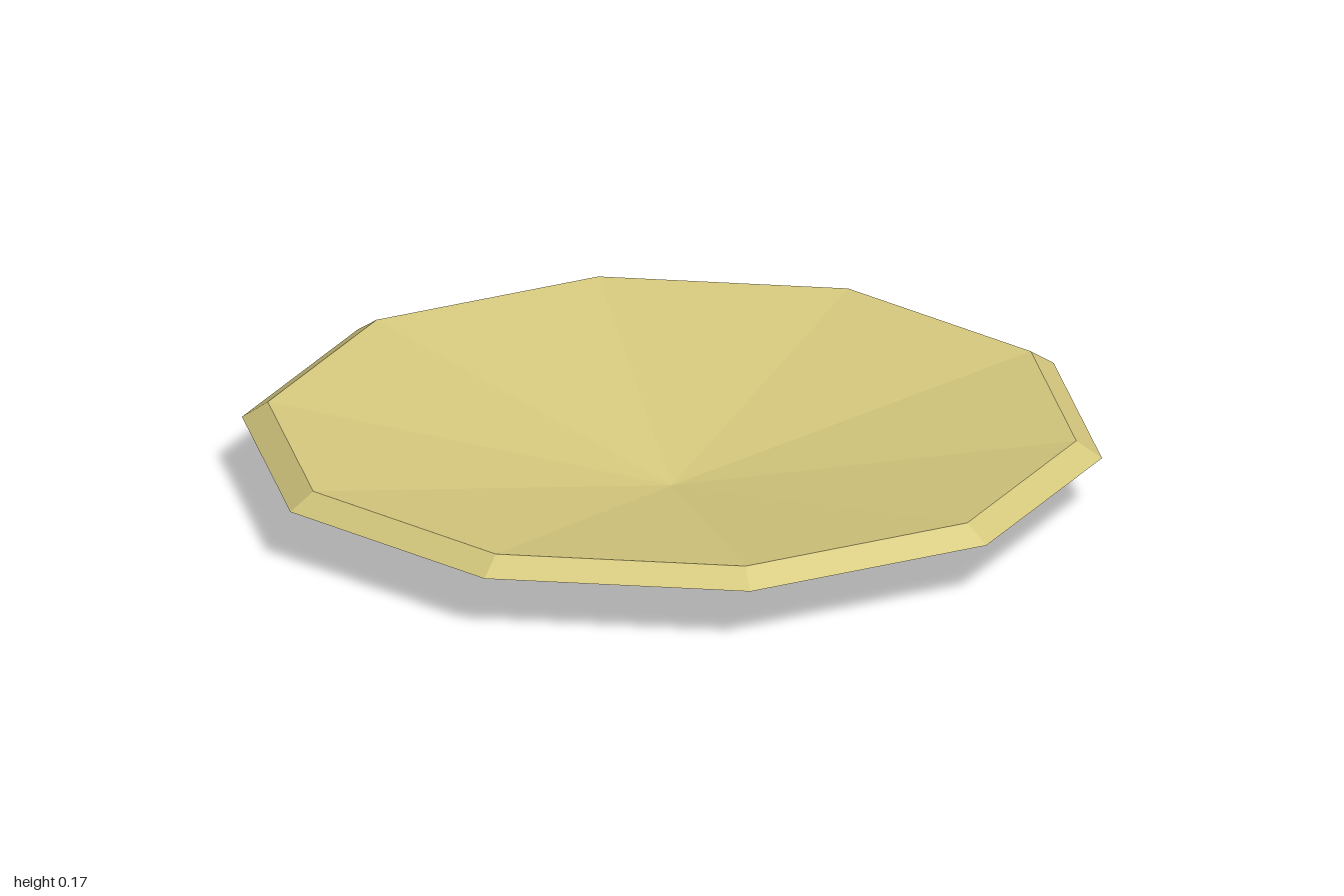
import * as THREE from 'three';

const SIDES = 10;

// Faceted ring or disc turned from profile points [radius, height], corner on +x.
function facetedBand(name, profile, material) {
  const points = profile.map(([r, y]) => new THREE.Vector2(r, y));
  const lathe = new THREE.LatheGeometry(points, SIDES, Math.PI / 2);
  const geometry = lathe.toNonIndexed();
  geometry.computeVertexNormals();
  const mesh = new THREE.Mesh(geometry, material);
  mesh.name = name;
  return mesh;
}

export function createModel() {
  const straw = new THREE.MeshStandardMaterial({ color: 0xd6c97e });
  straw.name = 'straw yellow';

  const plate = new THREE.Group();
  plate.name = 'plate';
  plate.add(
    // Flat foot and sloping underside
    facetedBand('foot', [[0, 0], [0.505, 0]], straw),
    facetedBand('underside', [[0.505, 0], [1, 0.13]], straw),
    // Bevelled outer rim
    facetedBand('rim', [[1, 0.13], [0.94, 0.17]], straw),
    // Shallow conical bowl
    facetedBand('bowl', [[0.94, 0.17], [0, 0.012]], straw),
  );
  return plate;
}
